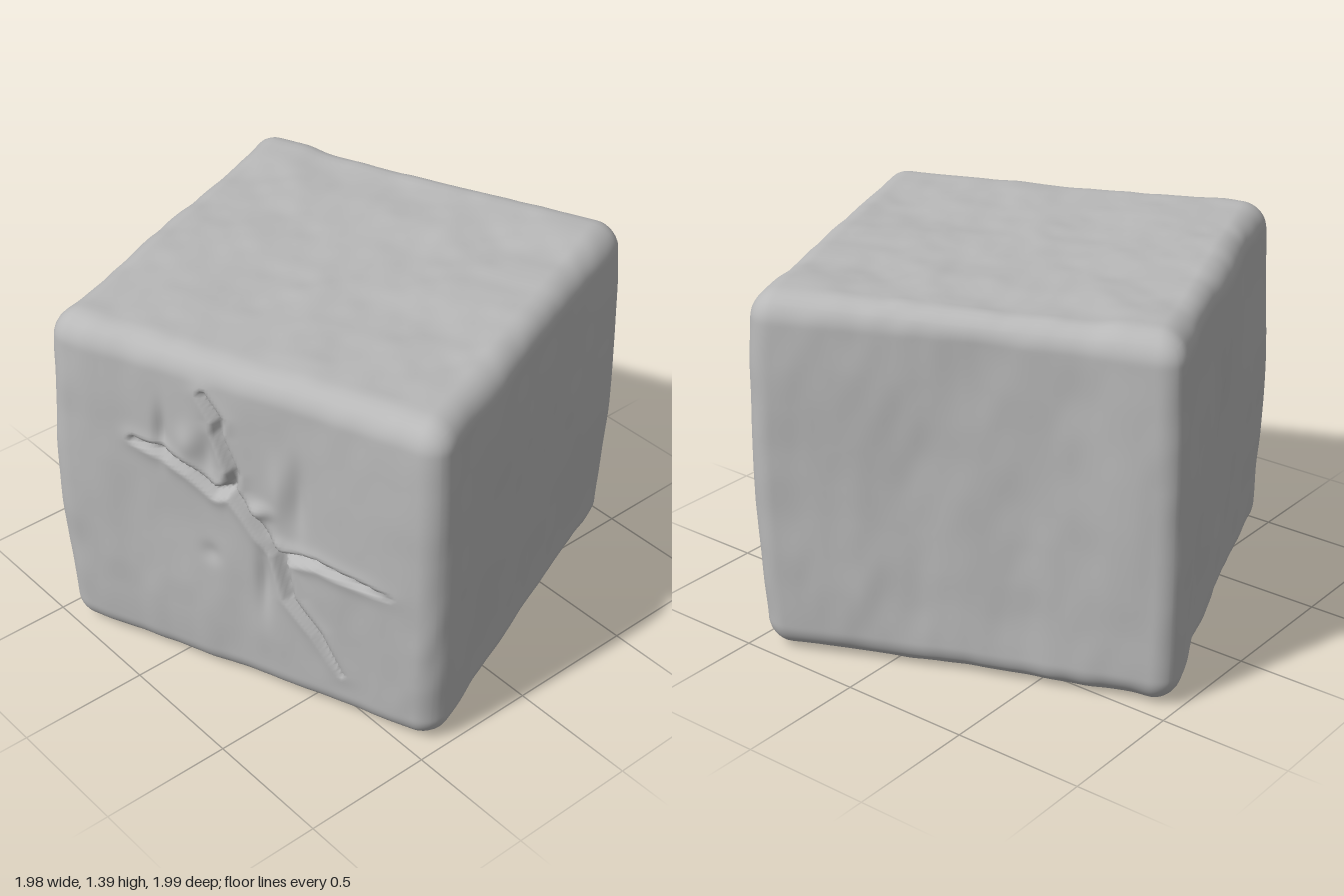
import * as THREE from 'three';
import { mergeVertices } from 'three/addons/utils/BufferGeometryUtils.js';

const H = 0.79, HY = 0.69, R = 0.1;      // half width, half height, edge radius
const TURN = 0.375;                      // the block stands turned about y

// Smooth seeded value noise, -1..1
const hash = (x, y, z) => {
  const s = Math.sin(x * 127.1 + y * 311.7 + z * 74.7) * 43758.5453;
  return (s - Math.floor(s)) * 2 - 1;
};
function noise(x, y, z) {
  const i = [x, y, z].map(Math.floor);
  const f = [x - i[0], y - i[1], z - i[2]].map(t => t * t * (3 - 2 * t));
  let sum = 0;
  for (let c = 0; c < 8; c++) {
    const a = c & 1, b = (c >> 1) & 1, d = c >> 2;
    sum += hash(i[0] + a, i[1] + b, i[2] + d) *
      (a ? f[0] : 1 - f[0]) * (b ? f[1] : 1 - f[1]) * (d ? f[2] : 1 - f[2]);
  }
  return sum;
}

// Crack branches on the front face: [x, y, width factor]
const cracks = [
  [[0.16, 1.245, 0.6], [0.22, 1.155, 1], [0.215, 1.1, 1], [0.27, 0.957, 1.1], [0.257, 0.877, 1.3]],
  [[-0.107, 0.968, 0.6], [0.01, 0.947, 1], [0.107, 0.904, 1.1], [0.2, 0.845, 1.2], [0.257, 0.877, 1.3]],
  [[0.257, 0.877, 1.3], [0.33, 0.786, 1.3], [0.428, 0.652, 1.4], [0.47, 0.476, 1], [0.572, 0.353, 0.9], [0.663, 0.193, 0.3]],
  [[0.428, 0.652, 1.3], [0.572, 0.684, 1], [0.733, 0.663, 0.7], [0.84, 0.647, 0.2]],
];
// Soft upright dents beside the crack: [x, y, half width, half height, depth]
const dents = [
  [0.0, 1.03, 0.022, 0.1, 0.02], [0.17, 1.0, 0.03, 0.09, 0.015], [0.1, 1.02, 0.04, 0.07, -0.015],
  [0.37, 0.52, 0.025, 0.13, 0.022], [0.5, 0.92, 0.03, 0.14, 0.018], [0.43, 0.9, 0.03, 0.12, -0.01],
  [0.36, 0.83, 0.04, 0.03, -0.022], [0.17, 0.56, 0.035, 0.04, 0.01], [0.42, 0.7, 0.05, 0.03, -0.015],
];

function crackDepth(x, y) {
  let best = 1, w = 0;
  for (const line of cracks) for (let i = 1; i < line.length; i++) {
    const [ax, ay, aw] = line[i - 1], [bx, by, bw] = line[i];
    const dx = bx - ax, dy = by - ay;
    const t = THREE.MathUtils.clamp(((x - ax) * dx + (y - ay) * dy) / (dx * dx + dy * dy), 0, 1);
    const d = Math.hypot(x - ax - dx * t, y - ay - dy * t);
    if (d < best) { best = d; w = aw + (bw - aw) * t; }
  }
  // sharp groove with a low raised lip
  let out = -0.05 * w * Math.exp(-((best / (0.013 * w + 0.003)) ** 2))
    + 0.015 * w * Math.exp(-((best / 0.045) ** 2));
  for (const [cx, cy, rx, ry, depth] of dents)
    out -= depth * Math.exp(-(((x - cx) / rx) ** 2) - ((y - cy) / ry) ** 2);
  return out;
}

// Rounded cube with worn, slightly hollow faces
function blockGeometry() {
  let g = new THREE.BoxGeometry(2 * H, 2 * HY, 2 * H, 130, 120, 60);
  g.deleteAttribute('uv');
  g.deleteAttribute('normal');
  g = mergeVertices(g);
  const pos = g.attributes.position;
  const p = new THREE.Vector3(), n = new THREE.Vector3();
  const inner = new THREE.Vector3(H - R, HY - R, H - R), low = inner.clone().negate();
  const hollow = (s, t) => Math.max(0, 1 - s * s) * (1 - 0.5 * t * t);
  for (let i = 0; i < pos.count; i++) {
    p.fromBufferAttribute(pos, i);
    const core = p.clone().clamp(low, inner);
    n.copy(p).sub(core).normalize();
    p.copy(core).addScaledVector(n, R);
    const a = p.x / H, b = p.y / HY, c = p.z / H;

    // hollow of each face
    let d = 0;
    d -= n.z < 0 ? -n.z * 0.05 * hollow(a, b) : n.z * 0.01 * hollow(a, b);
    d -= n.x < 0 ? -n.x * 0.03 * hollow(c, b) : n.x * 0.01 * hollow(c, b);
    d -= Math.abs(n.y) * 0.015 * hollow(a, c) * (1 - c * c);

    // chiselled surface, drawn out vertically on the sides
    d += 0.011 * noise(p.x * 5 + 7, p.y * 2.2 + 3, p.z * 5 + 11);
    d += 0.003 * noise(p.x * 13, p.y * 7 + 5, p.z * 13 + 2);

    if (n.z > 0.7) {
      const worldX = p.x * Math.cos(TURN) + H * Math.sin(TURN);
      d += n.z * crackDepth(worldX, p.y + HY);
    }
    p.addScaledVector(n, d);

    // sides swell a little at mid height
    const k = 1 - 0.025 * b * b;
    pos.setXYZ(i, p.x * k, p.y, p.z * k);
  }
  g.computeVertexNormals();
  return g;
}

export function createModel() {
  const stone = new THREE.MeshStandardMaterial({ color: 0xb8b8b8 });
  stone.name = 'stone grey';

  const block = new THREE.Mesh(blockGeometry(), stone);
  block.name = 'crackedStoneBlock';
  block.rotation.y = TURN;
  block.position.y = HY + 0.006;

  const model = new THREE.Group();
  model.name = 'stoneBlock';
  model.add(block);
  return model;
}
